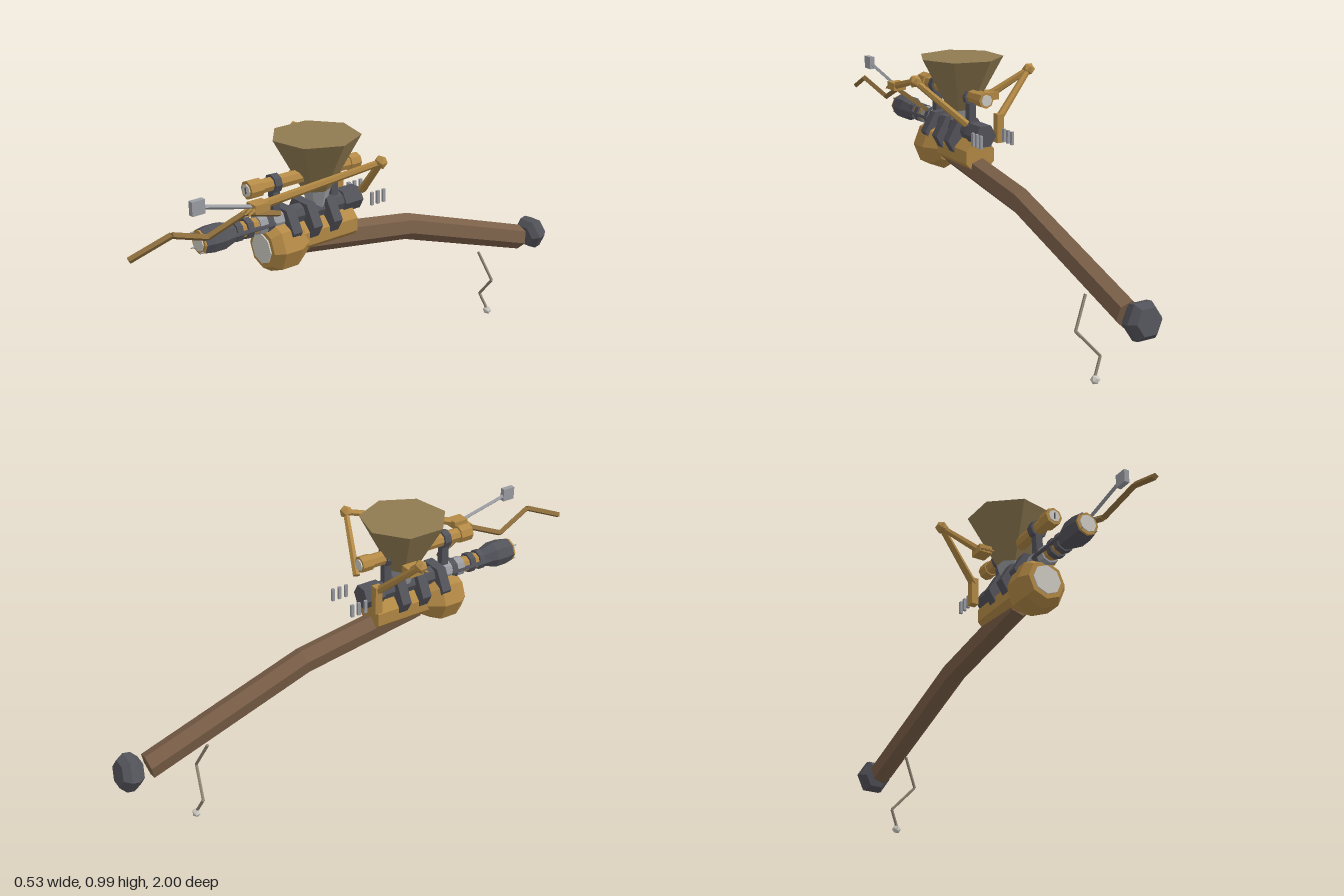
import * as THREE from 'three';

const mat = (name, color) => {
  const m = new THREE.MeshStandardMaterial({ color, flatShading: true });
  m.name = name;
  return m;
};

export function createModel() {
  const model = new THREE.Group();
  const wood = mat('wood', 0x7a5f48), iron = mat('dark iron', 0x53535b);
  const brass = mat('brass', 0xb48a46), funnel = mat('funnel bronze', 0x8f7a50);
  const pale = mat('pale glass', 0xcfccc4), steel = mat('steel', 0x9b9da3);
  const bronze = mat('old bronze', 0x8c6d3c), cord = mat('cord', 0x948877);

  const V = (p) => new THREE.Vector3(...p);
  const add = (name, geo, m, pos = [0, 0, 0]) => {
    const mesh = new THREE.Mesh(geo, m);
    mesh.name = name;
    mesh.position.set(...pos);
    model.add(mesh);
    return mesh;
  };
  const box = (name, size, pos, m) => add(name, new THREE.BoxGeometry(...size), m, pos);
  // Turned part along z; profile holds [radius, z] from back to front
  const turned = (name, profile, y, sides, m, phi = 0) => {
    const geo = new THREE.LatheGeometry(profile.map(([r, z]) => new THREE.Vector2(r, z)), sides, phi);
    return add(name, geo.rotateX(Math.PI / 2), m, [0, y, 0]);
  };
  const drum = (name, r, z0, z1, y, sides, m, phi) =>
    turned(name, [[0, z0], [r, z0], [r, z1], [0, z1]], y, sides, m, phi);
  // Straight rod between two points
  const rod = (name, a, b, ra, rb, sides, m) => {
    const A = V(a), B = V(b), d = B.clone().sub(A);
    const mesh = add(name, new THREE.CylinderGeometry(rb, ra, d.length(), sides), m);
    mesh.position.copy(A).add(B).multiplyScalar(0.5);
    mesh.quaternion.setFromUnitVectors(new THREE.Vector3(0, 1, 0), d.normalize());
    return mesh;
  };
  const chain = (name, pts, r, sides, m) =>
    pts.slice(1).forEach((p, i) => rod(name, pts[i], p, r, r, sides, m));

  // Bent wooden tail: straight hexagonal tube lowered along its length
  const tail = turned('tail', [[0, -0.88], [0.05, -0.88], [0.05, -0.24], [0.05, 0.25], [0, 0.25]], 0, 6, wood, 0.2);
  const tp = tail.geometry.attributes.position;
  for (let i = 0; i < tp.count; i++) {
    const z = tp.getZ(i), y = tp.getY(i);
    const drop = z < -0.5 ? 0.315 : z < 0 ? 0.535 : 0.615;
    tp.setXYZ(i, tp.getX(i) * 0.93, y + drop, z - y * 0.22);
  }
  tail.geometry.computeVertexNormals();

  // Tail knob
  const knob = turned('tailKnob', [[0, -0.04], [0.05, -0.04], [0.07, -0.014], [0.07, 0.014], [0.05, 0.04], [0, 0.04]],
    0.318, 6, iron, Math.PI / 2);
  knob.position.z = -0.953;
  knob.rotation.x = 0.2;

  // Hanging charm
  chain('charmCord', [[0, 0.31, -0.645], [0.057, 0.195, -0.672], [-0.032, 0.095, -0.695], [0, 0.03, -0.71]], 0.006, 5, cord);
  add('charmBead', new THREE.IcosahedronGeometry(0.018), pale, [0, 0.022, -0.712]);

  // Funnel with seven sides and its neck
  add('funnel', new THREE.CylinderGeometry(0.163, 0.053, 0.2, 7).rotateY(Math.PI / 2), funnel, [0, 0.9, 0.193]);
  add('funnelNeck', new THREE.CylinderGeometry(0.053, 0.032, 0.07, 7).rotateY(Math.PI / 2), steel, [0, 0.765, 0.193]);

  // Lower tank with round window
  turned('tank', [[0, 0.27], [0.06, 0.27], [0.098, 0.33], [0.098, 0.4], [0.075, 0.435], [0.058, 0.435], [0, 0.432]], 0.63, 8, brass);
  drum('tankWindow', 0.057, 0.432, 0.44, 0.63, 8, pale);
  drum('body', 0.065, 0.05, 0.3, 0.64, 8, brass, Math.PI / 8);

  // Iron ribs around the body
  for (const z of [0.16, 0.25, 0.34]) drum('rib', 0.087, z - 0.019, z + 0.019, 0.69, 6, iron, Math.PI / 2);
  drum('rearCap', 0.046, 0.01, 0.09, 0.724, 6, iron, Math.PI / 2);
  drum('barrelCore', 0.036, 0.08, 0.36, 0.725, 8, iron);

  // Barrel, bands and muzzle
  drum('barrel', 0.03, 0.34, 0.6, 0.725, 8, brass);
  drum('glassSleeve', 0.037, 0.355, 0.46, 0.725, 8, steel);
  for (const z of [0.415, 0.5, 0.545]) drum('barrelBand', 0.039, z - 0.012, z + 0.012, 0.725, 8, iron);
  for (const s of [-1, 1]) rod('barrelRail', [s * 0.034, 0.725, 0.4], [s * 0.034, 0.725, 0.62], 0.008, 0.008, 5, iron);
  turned('muzzle', [[0, 0.56], [0.035, 0.56], [0.051, 0.61], [0.051, 0.655], [0.045, 0.688], [0, 0.688]], 0.725, 8, iron);
  drum('muzzleRing', 0.044, 0.685, 0.695, 0.725, 8, brass);
  drum('muzzleLens', 0.033, 0.692, 0.699, 0.725, 8, pale);
  for (let i = 0; i < 4; i++) {
    const a = Math.PI / 4 + i * Math.PI / 2, x = Math.cos(a) * 0.04, y = 0.725 + Math.sin(a) * 0.04;
    rod('muzzlePin', [x, y, 0.67], [x, y, 0.708], 0.004, 0.003, 4, steel);
  }

  // Sighting tube on two posts
  drum('scope', 0.026, 0.01, 0.46, 0.862, 8, brass);
  drum('scopeFrontRing', 0.034, 0.44, 0.492, 0.862, 8, brass);
  drum('scopeBackRing', 0.031, 0.005, 0.05, 0.862, 8, brass);
  drum('scopeFrontLens', 0.023, 0.489, 0.496, 0.862, 8, pale);
  drum('scopeBackLens', 0.022, 0.0, 0.008, 0.862, 8, pale);
  box('scopeMark', [0.006, 0.024, 0.004], [0, 0.862, 0.496], iron);
  for (const z of [0.12, 0.378]) {
    box('scopePost', [0.028, 0.11, 0.03], [0, 0.79, z], iron);
    drum('scopeClamp', 0.035, z - 0.014, z + 0.014, 0.862, 8, iron);
  }

  // Jointed arms, the +x one reaching forward with a tool
  for (const s of [-1, 1]) {
    const elbow = [s * 0.246, 0.943, 0.1];
    const hand = s > 0 ? [0.108, 0.845, 0.52] : [-0.108, 0.845, 0.165];
    rod('upperArm', [s * 0.068, 0.775, 0.035], elbow, 0.015, 0.012, 6, brass);
    add('elbow', new THREE.IcosahedronGeometry(0.025), brass, elbow);
    rod('forearm', elbow, hand, 0.012, 0.016, 6, brass);
    box('hand', [0.052, 0.03, 0.06], hand, brass);
    for (const f of [-1, 0, 1]) {
      const x = hand[0] + f * 0.019;
      rod('finger', [x, hand[1], hand[2] + 0.025], [x, hand[1] - 0.018, hand[2] + 0.055], 0.009, 0.003, 4, brass);
    }
  }
  box('shoulderBracket', [0.028, 0.11, 0.03], [-0.072, 0.745, 0.035], brass);
  rod('toolShaft', [0.108, 0.845, 0.53], [0.108, 0.898, 0.74], 0.008, 0.008, 4, steel);
  box('toolHead', [0.02, 0.05, 0.05], [0.109, 0.903, 0.76], steel);

  // Zigzag feeler at the front
  chain('feeler', [[0.045, 0.765, 0.39], [0.085, 0.823, 0.56], [0.065, 0.765, 0.7], [0.09, 0.822, 0.85], [0.062, 0.765, 0.995]],
    0.012, 4, bronze);

  // Exhaust slats behind the body
  for (const s of [-1, 1])
    for (let i = 0; i < 3; i++) box('slat', [0.01, 0.05, 0.012], [s * 0.067, 0.726, -0.012 - i * 0.028], steel);

  return model;
}
